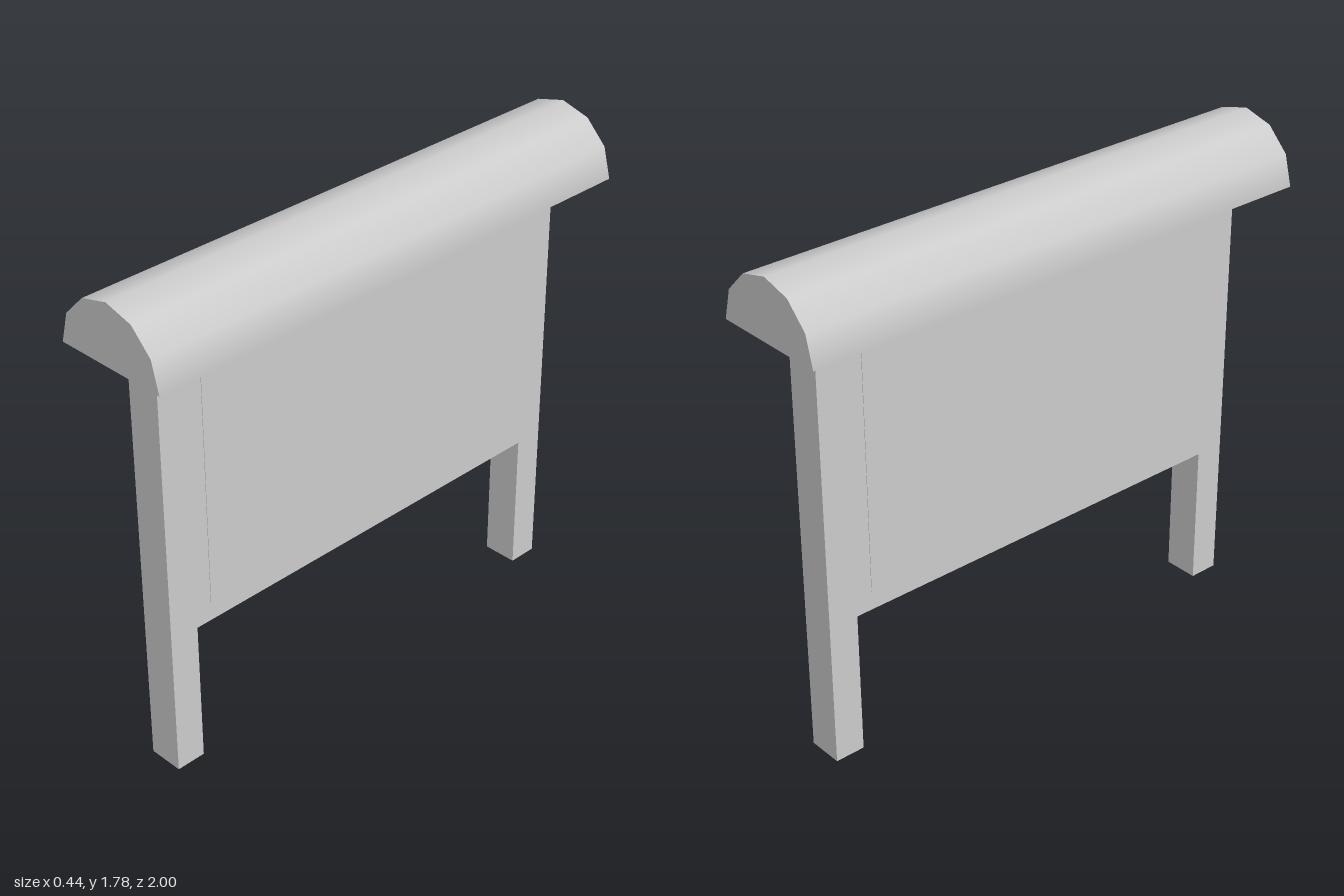
import * as THREE from 'three';

const EAVE = 1.565, R = 0.22, WALL = 0.04, LENGTH = 2;

export function createModel() {
  const model = new THREE.Group();
  const grey = new THREE.MeshStandardMaterial({ color: 0xcccccc });
  const greyInside = new THREE.MeshStandardMaterial({ color: 0xcccccc, side: THREE.BackSide });

  const add = (parent, name, geometry, material = grey) => {
    const mesh = new THREE.Mesh(geometry, material);
    mesh.name = name;
    parent.add(mesh);
    return mesh;
  };

  // Frame: two legs joined by the board, one outline extruded across x
  const leg = 0.775, end = 0.885, sill = 0.53, top = 1.735, thick = 0.13;
  const outline = new THREE.Shape([
    [-end, 0], [-leg, 0], [-leg, sill], [leg, sill],
    [leg, 0], [end, 0], [end, top], [-end, top],
  ].map(([z, y]) => new THREE.Vector2(z, y)));
  const frame = new THREE.ExtrudeGeometry(outline, { depth: thick, bevelEnabled: false });
  frame.translate(0, 0, -thick / 2).rotateY(Math.PI / 2);
  add(model, 'frame', frame);

  // Notice panel, standing just proud of both faces
  const panelBottom = 0.597;
  const panel = add(model, 'panel', new THREE.BoxGeometry(thick + 0.004, 1.7 - panelBottom, 1.43));
  panel.position.y = (1.7 + panelBottom) / 2;

  // Roof: hollow half barrel with closed ends
  const roof = new THREE.Group();
  roof.name = 'roof';
  roof.position.y = EAVE;
  model.add(roof);

  const vault = (r, length) =>
    new THREE.CylinderGeometry(r, r, length, 6, 1, true, Math.PI / 2, Math.PI).rotateX(Math.PI / 2);
  const inner = R - WALL, innerLength = LENGTH - 2 * WALL;
  add(roof, 'roofOuter', vault(R, LENGTH));
  add(roof, 'roofInner', vault(inner, innerLength), greyInside);

  for (const s of [1, -1]) {
    const turn = s > 0 ? 0 : Math.PI;
    const gable = new THREE.CircleGeometry(R, 6, 0, Math.PI).rotateY(turn);
    add(roof, 'gable', gable).position.z = s * LENGTH / 2;
    const lining = new THREE.CircleGeometry(inner, 6, 0, Math.PI).rotateY(turn);
    add(roof, 'gableLining', lining, greyInside).position.z = s * innerLength / 2;
  }

  // Flat rim around the open underside
  const rectangle = (w, h) => [[-w, -h], [w, -h], [w, h], [-w, h]].map(([x, y]) => new THREE.Vector2(x, y));
  const rim = new THREE.Shape(rectangle(R, LENGTH / 2));
  rim.holes.push(new THREE.Path(rectangle(inner, innerLength / 2)));
  add(roof, 'rim', new THREE.ShapeGeometry(rim).rotateX(Math.PI / 2));

  return model;
}
